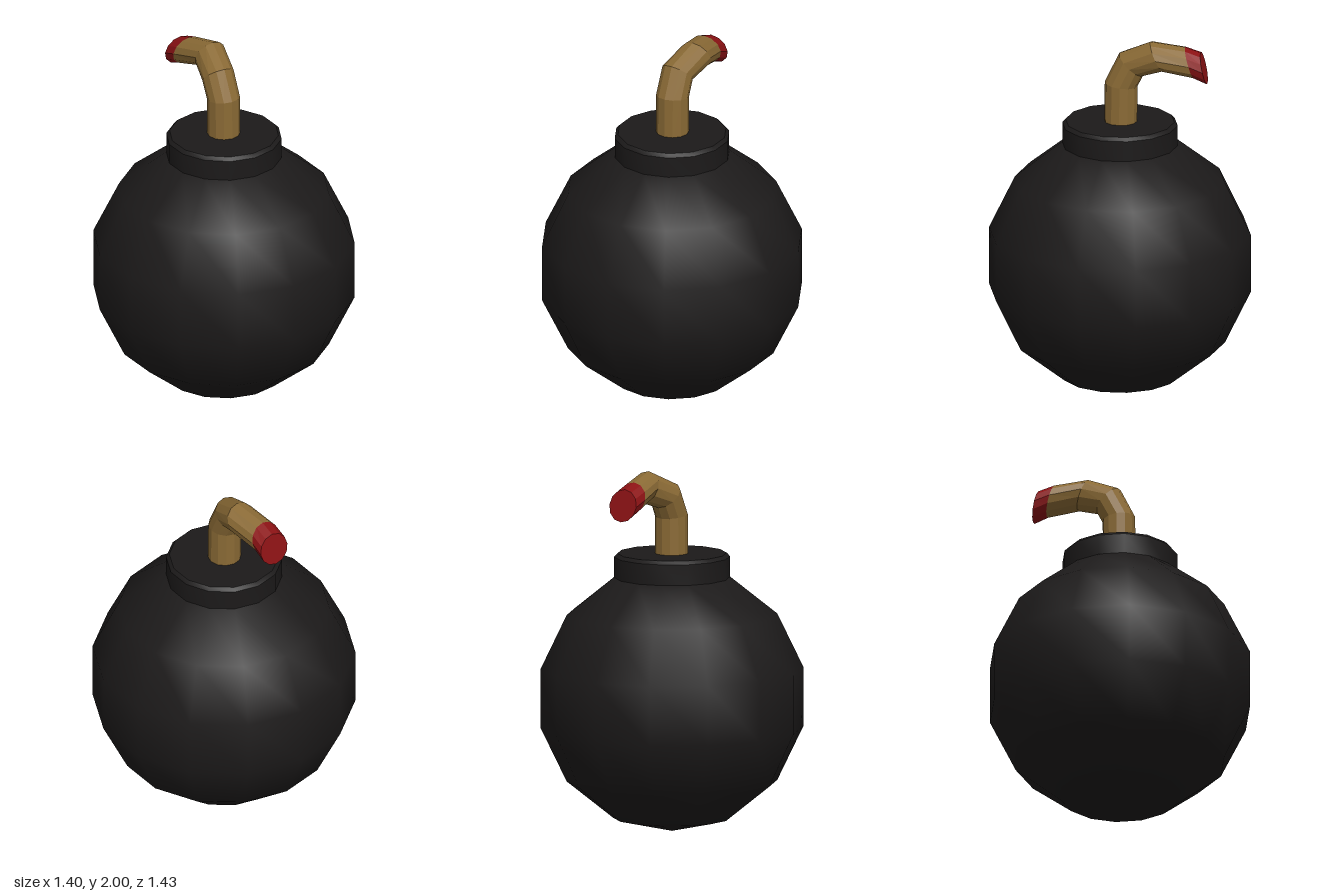
import * as THREE from 'three';
import { toCreasedNormals } from 'three/addons/utils/BufferGeometryUtils.js';

const SIDES = 14;
const mat = (color, flatShading = false) =>
  new THREE.MeshStandardMaterial({ color, flatShading });

// Tube through tilted rings: each ring is { c: centre, n: facing }
function ringTube(rings, radius, sides, capEnd) {
  const pos = [], index = [];
  for (const { c, n } of rings) {
    const normal = new THREE.Vector3(...n).normalize();
    const u = new THREE.Vector3(1, 0, 0).addScaledVector(normal, -normal.x).normalize();
    const w = new THREE.Vector3().crossVectors(normal, u);
    for (let i = 0; i < sides; i++) {
      const a = (i / sides) * Math.PI * 2;
      const p = new THREE.Vector3(...c)
        .addScaledVector(u, radius * Math.cos(a))
        .addScaledVector(w, radius * Math.sin(a));
      pos.push(p.x, p.y, p.z);
    }
  }
  for (let j = 0; j < rings.length - 1; j++) {
    for (let i = 0; i < sides; i++) {
      const k = (i + 1) % sides;
      const a = j * sides + i, b = j * sides + k;
      index.push(a, b, b + sides, a, b + sides, a + sides);
    }
  }
  if (capEnd) {
    const s = (rings.length - 1) * sides;
    for (let i = 1; i < sides - 1; i++) index.push(s, s + i, s + i + 1);
  }
  const g = new THREE.BufferGeometry();
  g.setAttribute('position', new THREE.Float32BufferAttribute(pos, 3));
  g.setIndex(index);
  g.computeVertexNormals();
  return g;
}

export function createModel() {
  const model = new THREE.Group();
  model.name = 'bomb';
  const add = (name, geometry, material) => {
    const mesh = new THREE.Mesh(geometry, material);
    mesh.name = name;
    model.add(mesh);
    return mesh;
  };
  const black = mat(0x1c1a1a);

  // Round body, a corner facing front and back
  const sphere = new THREE.SphereGeometry(0.735, SIDES, 7);
  sphere.rotateY(Math.PI / 2);
  add('body', sphere, black).position.y = 0.738;

  // Collar with a small bevel around its top
  const profile = [[0.316, 1.36], [0.316, 1.515], [0.298, 1.534], [0, 1.534]]
    .map(([x, y]) => new THREE.Vector2(x, y));
  add('collar', toCreasedNormals(new THREE.LatheGeometry(profile, SIDES), 0.6), black);

  // Bent fuse and its burning tip
  const rings = [
    { c: [0, 1.5, -0.004], n: [0, 1, 0] },
    { c: [0, 1.745, -0.006], n: [0, 1, -0.12] },
    { c: [0, 1.86, -0.062], n: [0.06, 0.73, -0.68] },
    { c: [0.035, 1.92, -0.205], n: [0, 0.4, -0.92] },
    { c: [0, 1.88, -0.38], n: [-0.04, 0.28, -0.96] },
    { c: [0, 1.85, -0.46], n: [0, 0.22, -0.98] },
  ];
  add('fuse', ringTube(rings.slice(0, 5), 0.09, 12, false), mat(0x8a6a35, true));
  add('fuseTip', ringTube(rings.slice(4), 0.09, 12, true), mat(0x8b1214, true));

  return model;
}
